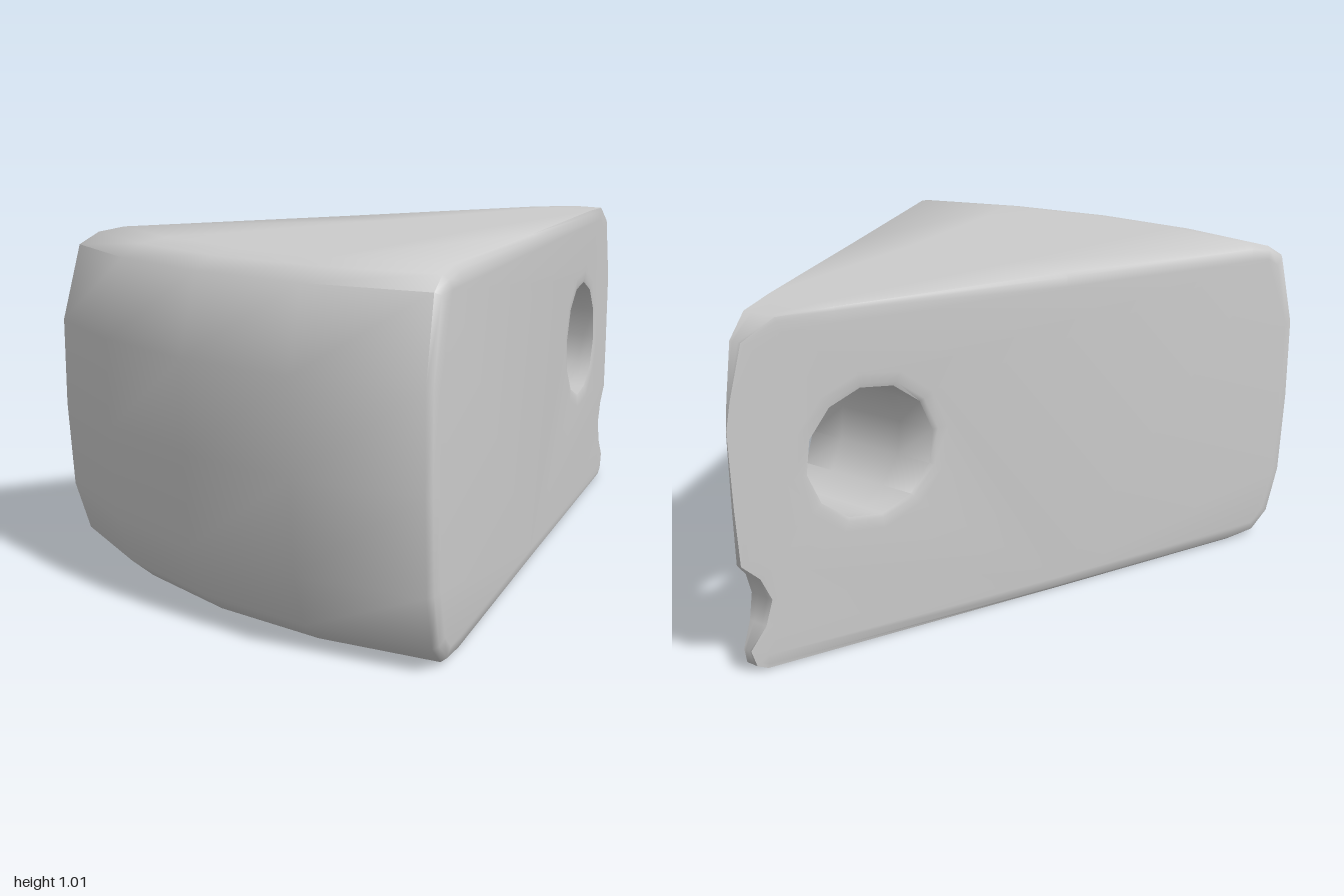
import * as THREE from 'three';
import { toCreasedNormals } from 'three/addons/utils/BufferGeometryUtils.js';

const HALF_ANGLE = THREE.MathUtils.degToRad(22.3);

// Side outline as (z, y): bottom, rounded front, top, rounded back, bite near the tip
const OUTLINE = [
  [-0.92, 0.005], [0, 0], [0.78, 0], [0.88, 0.01], [0.945, 0.07], [0.985, 0.22],
  [0.995, 0.48], [0.99, 0.74], [0.93, 0.965], [0.87, 1.0], [0.79, 1.012],
  [0, 1.01], [-0.7, 1.01], [-0.86, 1.005], [-0.95, 0.95], [-0.985, 0.8], [-0.998, 0.72],
  [-0.99, 0.5], [-0.98, 0.33], [-0.93, 0.28], [-0.9, 0.21], [-0.92, 0.135],
  [-0.965, 0.07], [-0.95, 0.02],
];

function createWedgeGeometry() {
  const shape = new THREE.Shape(OUTLINE.map(([z, y]) => new THREE.Vector2(z, y)));

  // Round hole running from side to side
  const hole = [];
  for (let i = 0; i < 12; i++) {
    const a = -(i / 12) * Math.PI * 2 + 0.15;
    hole.push(new THREE.Vector2(-0.607 + 0.186 * Math.cos(a), 0.582 + 0.194 * Math.sin(a)));
  }
  shape.holes.push(new THREE.Path(hole));

  const geometry = new THREE.ExtrudeGeometry(shape, {
    depth: 1.94, steps: 4, bevelEnabled: true, bevelSegments: 2,
    bevelThickness: 0.03, bevelSize: 0.04, bevelOffset: -0.04,
  });
  geometry.translate(0, 0, -0.97);

  // Fan the slab out from the tip and curve its front into an arc
  const p = geometry.attributes.position;
  for (let i = 0; i < p.count; i++) {
    const angle = -p.getZ(i) * HALF_ANGLE;
    const radius = p.getX(i) + 1;
    const curve = THREE.MathUtils.smoothstep(radius, 0.8, 1.85);
    const reach = radius - radius * (1 - Math.cos(angle)) * curve;
    p.setXYZ(i, reach * Math.tan(angle), p.getY(i), reach - 1);
  }
  geometry.deleteAttribute('uv');
  return toCreasedNormals(geometry, 0.95);
}

export function createModel() {
  const group = new THREE.Group();
  group.name = 'cheese';
  const wedge = new THREE.Mesh(
    createWedgeGeometry(),
    new THREE.MeshStandardMaterial({ color: 0xcccccc }),
  );
  wedge.name = 'cheeseWedge';
  group.add(wedge);
  return group;
}
